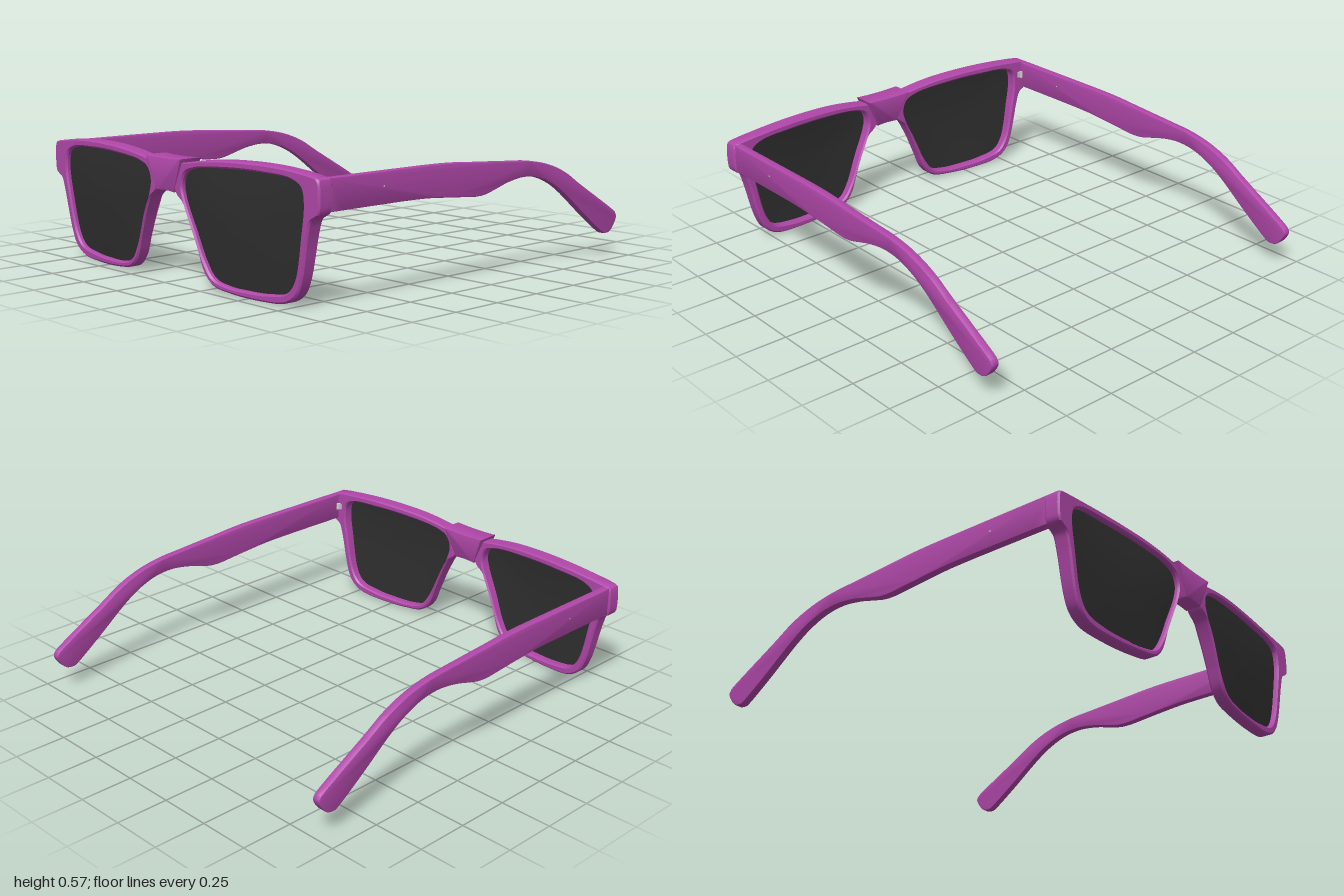
import * as THREE from 'three';
import { toCreasedNormals } from 'three/addons/utils/BufferGeometryUtils.js';

const purple = new THREE.MeshStandardMaterial({ color: 0xb047a9 });
const dark = new THREE.MeshStandardMaterial({ color: 0x2e2e2e, side: THREE.DoubleSide });
const grey = new THREE.MeshStandardMaterial({ color: 0xcccccc });

// outlines of one side, x away from the nose
const rimOutline = [[0.07, 0.525], [0.12, 0.535], [0.3, 0.56], [0.5, 0.57], [0.7, 0.566], [0.89, 0.547],
  [0.925, 0.538], [0.932, 0.515], [0.932, 0.42], [0.925, 0.4], [0.885, 0.375], [0.865, 0.32], [0.818, 0.12],
  [0.785, 0.055], [0.72, 0.015], [0.58, 0.002], [0.4, 0.008], [0.29, 0.028], [0.24, 0.075], [0.2, 0.175],
  [0.15, 0.3], [0.11, 0.37], [0.07, 0.402], [0.06, 0.44]];
const lensOutline = [[0.112, 0.44], [0.135, 0.492], [0.2, 0.518], [0.4, 0.534], [0.6, 0.536], [0.77, 0.525],
  [0.825, 0.495], [0.839, 0.43], [0.82, 0.3], [0.775, 0.115], [0.73, 0.06], [0.62, 0.037], [0.5, 0.032],
  [0.38, 0.036], [0.295, 0.058], [0.245, 0.12], [0.185, 0.25], [0.125, 0.38]];
const templeProfile = [[0.88, 0.54], [0.5, 0.54], [0.2, 0.538], [0, 0.526], [-0.2, 0.513], [-0.35, 0.502],
  [-0.48, 0.476], [-0.6, 0.43], [-0.72, 0.36], [-0.95, 0.23], [-0.995, 0.195], [-0.995, 0.165], [-0.96, 0.12],
  [-0.925, 0.108], [-0.885, 0.12], [-0.75, 0.215], [-0.6, 0.328], [-0.5, 0.388], [-0.4, 0.424], [-0.3, 0.434],
  [-0.2, 0.421], [-0.12, 0.4], [-0.05, 0.382], [0, 0.378], [0.05, 0.38], [0.2, 0.393], [0.4, 0.404], [0.88, 0.404]];
const middle = new THREE.Vector2(0.48, 0.29);

// closed smooth loop through a few points
function loop(points, count) {
  const curve = new THREE.CatmullRomCurve3(points.map(([x, y]) => new THREE.Vector3(x, y, 0)), true, 'centripetal');
  return curve.getSpacedPoints(count).slice(0, count).map(p => new THREE.Vector2(p.x, p.y));
}

// the front sweeps back from the nose to the hinges, and its face leans back a little at the foot
const sweep = x => 0.908 + 0.042 * (1 - THREE.MathUtils.smoothstep(x, 0.1, 0.85));
const lean = (y, z) => (z > 0 ? 0.012 * (1 - THREE.MathUtils.smoothstep(y, 0, 0.4)) : 0);

// surface over a grid of [x, y, z] points, closed around each row; side -1 mirrors it
function skin(rows, side, closeRows) {
  const n = rows[0].length, m = rows.length, pos = [], index = [];
  for (const [x, y, z] of rows.flat()) pos.push(x * side, y, z + sweep(x) - lean(y, z));
  for (let r = 0; r < (closeRows ? m : m - 1); r++) {
    for (let i = 0; i < n; i++) {
      const a = r * n + i, b = r * n + (i + 1) % n;
      const c = ((r + 1) % m) * n + (i + 1) % n, d = ((r + 1) % m) * n + i;
      if (side > 0) index.push(a, b, c, a, c, d);
      else index.push(a, c, b, a, d, c);
    }
  }
  const g = new THREE.BufferGeometry();
  g.setAttribute('position', new THREE.Float32BufferAttribute(pos, 3));
  g.setIndex(index);
  g.computeVertexNormals();
  return g;
}

// bevelled section between the outer outline and the lens opening, carried round the rim
function rimGeometry(side) {
  const opening = loop(lensOutline, 1200), h = 0.037, b = 0.008;
  const rows = loop(rimOutline, 160).map(o => {
    const out = o.clone().sub(middle).normalize();
    const facing = p => p.clone().sub(middle).normalize().dot(out);
    const i = opening.reduce((best, p) => (facing(p) > facing(best) ? p : best));
    const at = (p, inset, z) => [p.x + out.x * inset, p.y + out.y * inset, z];
    return [at(o, 0, -h + b), at(o, 0, h - b), at(o, -b, h), at(i, b, h),
      at(i, 0, h - b), at(i, 0, -h + b), at(i, b, -h), at(o, -b, -h)];
  });
  return toCreasedNormals(skin(rows, side, true), 0.6);
}

// rings of points shrinking to the middle of the lens, slightly domed
function lensGeometry(side) {
  const edge = loop(lensOutline, 80), rows = [];
  for (let r = 0; r <= 8; r++) {
    const k = 1.015 * (1 - r / 8);
    rows.push(edge.map(p => [middle.x + (p.x - middle.x) * k, middle.y + (p.y - middle.y) * k, 0.024 - 0.01 * k * k]));
  }
  return skin(rows, side, false);
}

// flat slab with bevelled edges, centred on z = 0, keeping its outline
function slab(shape, thickness, bevel) {
  const g = new THREE.ExtrudeGeometry(shape, {
    depth: thickness - 2 * bevel, bevelThickness: bevel, bevelSize: bevel, bevelOffset: -bevel, bevelSegments: 2,
  });
  return g.translate(0, 0, bevel - thickness / 2);
}

// tapered block with an arched underside, thinner towards the bottom
function bridgeGeometry() {
  const shape = new THREE.Shape();
  shape.moveTo(-0.125, 0.551);
  shape.lineTo(-0.06, 0.402);
  shape.quadraticCurveTo(0, 0.41, 0.06, 0.402);
  shape.lineTo(0.125, 0.551);
  shape.quadraticCurveTo(0, 0.543, -0.125, 0.551);
  const g = slab(shape, 0.115, 0.004), p = g.attributes.position;
  for (let i = 0; i < p.count; i++) {
    const t = THREE.MathUtils.clamp((0.55 - p.getY(i)) / 0.15, 0, 1);
    p.setZ(i, 0.9425 + 0.008 * t + p.getZ(i) * (1 - 0.33 * t));
  }
  return toCreasedNormals(g, 0.6);
}

// side profile given as (z, y), turned to run front to back
function templeGeometry() {
  const edge = new THREE.SplineCurve(templeProfile.map(([z, y]) => new THREE.Vector2(z, y)));
  const shape = new THREE.Shape(edge.getPoints(135));
  return toCreasedNormals(slab(shape, 0.039, 0.005).rotateY(-Math.PI / 2), 0.6);
}

export function createModel() {
  const model = new THREE.Group();
  model.name = 'sunglasses';
  const add = (name, geometry, material, parent = model) => {
    const mesh = new THREE.Mesh(geometry, material);
    mesh.name = name;
    parent.add(mesh);
    return mesh;
  };

  add('bridge', bridgeGeometry(), purple);
  for (const [side, label] of [[1, 'left'], [-1, 'right']]) {
    add(label + 'Rim', rimGeometry(side), purple);
    add(label + 'Lens', lensGeometry(side), dark);
    add(label + 'Temple', templeGeometry(), purple).position.x = side * 0.9055;

    // small metal hinge inside the corner, with a pin through the arm
    const hinge = new THREE.Group();
    hinge.name = label + 'Hinge';
    for (const y of [-0.012, 0, 0.012]) {
      add('knuckle', new THREE.CylinderGeometry(0.009, 0.009, 0.009, 12), grey, hinge).position.y = y;
    }
    add('leaf', new THREE.BoxGeometry(0.024, 0.03, 0.012), grey, hinge).position.set(-side * 0.006, 0, 0.008);
    hinge.position.set(side * 0.88, 0.475, 0.86);
    model.add(hinge);
    const pin = add(label + 'Pin', new THREE.CylinderGeometry(0.004, 0.004, 0.04, 10), grey);
    pin.rotation.z = Math.PI / 2;
    pin.position.set(side * 0.906, 0.48, 0.58);
  }
  return model;
}
